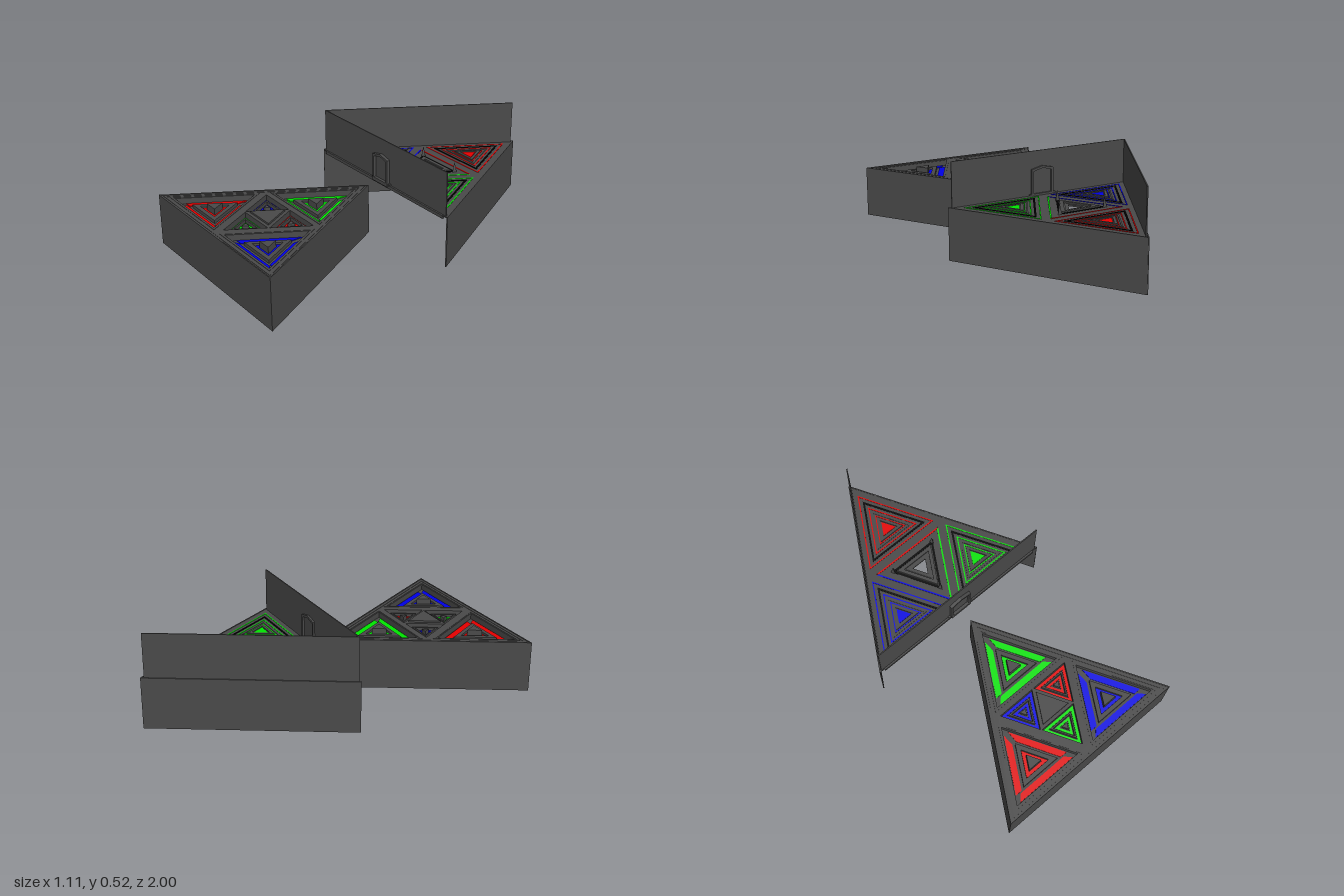
import * as THREE from 'three';

const paint = (name, color) => {
  const m = new THREE.MeshStandardMaterial({ color });
  m.name = name;
  return m;
};

export function createModel() {
  const model = new THREE.Group();
  const grey = paint('dark grey stone', 0x4a4a4a);
  const black = paint('black', 0x000000);
  const red = paint('red', 0xe60000);
  const green = paint('green', 0x00e600);
  const blue = paint('blue', 0x0000e6);
  const R3 = Math.sqrt(3);

  const add = (name, geo, mat, parent = model) => {
    const m = new THREE.Mesh(geo, mat);
    m.name = name;
    parent.add(m);
    return m;
  };

  // Corners of an equilateral triangle of half-width w, apex toward -z (or +z when dir is -1)
  const corners = (w, dir = 1, dx = 0, dz = 0) =>
    [[-w, -w / R3], [w, -w / R3], [0, 2 * w / R3]].map(([x, y]) => new THREE.Vector2(x * dir + dx, y * dir - dz));

  // Lays a flat outline on its back between heights y0 and y1, turned about its centre
  const slab = (name, shape, mat, [x, z], y0, y1, turn = 0) => {
    const geo = new THREE.ExtrudeGeometry(shape, { depth: y1 - y0, bevelEnabled: false });
    geo.rotateX(-Math.PI / 2).rotateY(turn).translate(x, y0, z);
    return add(name, geo, mat);
  };

  // Triangular ring, or a solid triangle when inner is 0
  const ring = (name, mat, at, outer, inner, y0, y1, turn = 0) => {
    const s = new THREE.Shape(corners(outer));
    if (inner) s.holes.push(new THREE.Path(corners(inner).reverse()));
    return slab(name, s, mat, at, y0, y1, turn);
  };

  // Bar along one side of a triangle; ends = [outer left, inner left, inner right, outer right]
  const bar = (name, mat, at, rOut, rIn, [a, b, c, d], y0, y1, turn) =>
    slab(name, new THREE.Shape([[a, -rOut], [d, -rOut], [c, -rIn], [b, -rIn]].map(p => new THREE.Vector2(...p))),
      mat, at, y0, y1, turn);

  // Thin upright wall from one ground point to another
  const wall = (name, [x0, z0], [x1, z1], y0, y1) => {
    const dx = x1 - x0, dz = z1 - z0;
    const geo = new THREE.BoxGeometry(Math.hypot(dx, dz), y1 - y0, 0.006);
    geo.rotateY(-Math.atan2(dz, dx)).translate((x0 + x1) / 2, (y0 + y1) / 2, (z0 + z1) / 2);
    return add(name, geo, grey);
  };

  const third = 2 * Math.PI / 3;
  const TOP = 0.283;

  // ---- Front platform: open-bottomed triangular box with sunken patterns ----
  const F = [0, 0.681];
  const large = [[0, 0.38, green], [-0.26, 0.832, red], [0.26, 0.832, blue]];
  const small = [[-0.115, 0.607, blue], [0.115, 0.607, red], [0, 0.803, green]];
  ring('frontPlatformWalls', grey, F, 0.553, 0.543, 0, TOP);
  ring('frontPitBase', grey, F, 0.546, 0, 0.241, 0.247);
  const deck = new THREE.Shape(corners(0.546));
  large.forEach(([x, z]) => deck.holes.push(new THREE.Path(corners(0.207, 1, x, z - F[1]).reverse())));
  small.forEach(([x, z]) => deck.holes.push(new THREE.Path(corners(0.109, -1, x, z - F[1]).reverse())));
  slab('frontDeck', deck, grey, F, 0.247, 0.28);
  ring('frontRim', grey, F, 0.53, 0.51, 0.28, 0.282);

  // Three large triangles, each with three separate bars and a small ring
  const barEnds = [
    [-0.18, -0.147, 0.147, 0.18], [-0.15, -0.13, 0.112, 0.168], [-0.168, -0.112, 0.13, 0.15]];
  large.forEach(([x, z, mat]) => {
    const at = [x, z];
    ring('deckBorder', grey, at, 0.232, 0.218, 0.28, 0.282);
    barEnds.forEach((ends, k) => bar('colourBar', mat, at, 0.114, 0.08, ends, 0.238, 0.251, k * third));
    ring('innerStep', grey, at, 0.115, 0.075, 0.247, 0.265);
    ring('colourRing', mat, at, 0.072, 0.043, 0.238, 0.254);
    ring('centreBlock', grey, at, 0.04, 0, 0.247, 0.288);
  });

  // Three small inverted triangles around a raised centre
  small.forEach(([x, z, mat]) => {
    const at = [x, z];
    ring('smallColourRing', mat, at, 0.106, 0.08, 0.238, 0.251, Math.PI);
    ring('smallStep', grey, at, 0.072, 0.058, 0.247, 0.268, Math.PI);
    ring('smallInnerRing', mat, at, 0.05, 0.03, 0.238, 0.254, Math.PI);
    ring('smallCentre', grey, at, 0.018, 0, 0.247, 0.27, Math.PI);
  });
  ring('raisedCentre', grey, [0, 0.672], 0.088, 0, 0.28, 0.29);

  // ---- Back platform: two lower walls, open at the front ----
  const B = [0, -0.361], apex = [0, -0.998];
  wall('lowerLeftWall', [0.551, -0.042], apex, 0, TOP);
  wall('lowerRightWall', [-0.551, -0.042], apex, 0, TOP);
  const floor = new THREE.Shape(corners(0.551));
  floor.holes.push(new THREE.Path(corners(0.043, -1).reverse()));
  slab('backFloor', floor, grey, B, 0.276, 0.281);
  add('frontLedge', new THREE.BoxGeometry(1.04, 0.018, 0.012), grey).position.set(0, 0.273, -0.043);

  // Upper screens on the front and on one side
  wall('upperFrontWall', [-0.537, -0.05], [0.537, -0.05], 0.281, 0.523);
  wall('upperSideWall', [-0.537, -0.05], [0, -0.98], 0.281, 0.523);

  // Nested triangles set through the floor
  [[0, -0.663, red], [-0.26, -0.213, blue], [0.26, -0.213, green]].forEach(([x, z, mat]) => {
    const at = [x, z];
    ring('insetBase', grey, at, 0.226, 0, 0.262, 0.28);
    ring('outerLine', mat, at, 0.224, 0.213, 0.26, 0.283);
    ring('blackBand', black, at, 0.184, 0.166, 0.26, 0.283);
    ring('middleLine', mat, at, 0.143, 0.132, 0.26, 0.283);
    ring('lowStep', grey, at, 0.115, 0.1, 0.281, 0.284);
    ring('innerLine', mat, at, 0.09, 0.081, 0.26, 0.283);
    ring('highStep', grey, at, 0.075, 0.05, 0.281, 0.287);
    ring('centreTriangle', mat, at, 0.042, 0, 0.26, 0.285);
  });

  // Central inverted triangle around the opening, one colour for each side
  [red, blue, green].forEach((mat, k) =>
    bar('centreLine', mat, B, 0.127, 0.119, [-0.215, -0.204, 0.204, 0.215], 0.274, 0.283, Math.PI + k * third));
  ring('centreBlackBand', black, B, 0.145, 0.124, 0.274, 0.283, Math.PI);
  ring('centreStep', grey, B, 0.118, 0.085, 0.275, 0.289, Math.PI);
  ring('openingEdge', grey, B, 0.075, 0.043, 0.275, 0.283, Math.PI);
  for (let k = 0; k < 3; k++) {
    const spike = add('cornerSpike', new THREE.ConeGeometry(0.014, 0.06, 3).toNonIndexed(), grey);
    spike.geometry.computeVertexNormals();
    spike.position.set(0.157 * Math.sin(k * third), 0.311, B[1] + 0.157 * Math.cos(k * third));
  }

  // ---- Doorway with a peaked frame ----
  const gable = (w, y0, side, peak) =>
    [[-w, y0], [w, y0], [w, side], [0, peak], [-w, side]].map(p => new THREE.Vector2(...p));
  const frame = new THREE.Shape(gable(0.066, 0.272, 0.425, 0.44));
  frame.holes.push(new THREE.Path(gable(0.054, 0.292, 0.414, 0.428).reverse()));
  const door = new THREE.Group();
  door.name = 'doorway';
  model.add(door);
  add('doorFrame', new THREE.ExtrudeGeometry(frame, { depth: 0.034, bevelEnabled: false }), grey, door)
    .position.z = -0.064;
  add('doorPanel', new THREE.ExtrudeGeometry(new THREE.Shape(gable(0.054, 0.292, 0.414, 0.428)),
    { depth: 0.008, bevelEnabled: false }), grey, door).position.z = -0.054;
  add('doorSill', new THREE.BoxGeometry(0.16, 0.008, 0.026), grey, door).position.set(0, 0.287, -0.05);

  return model;
}
